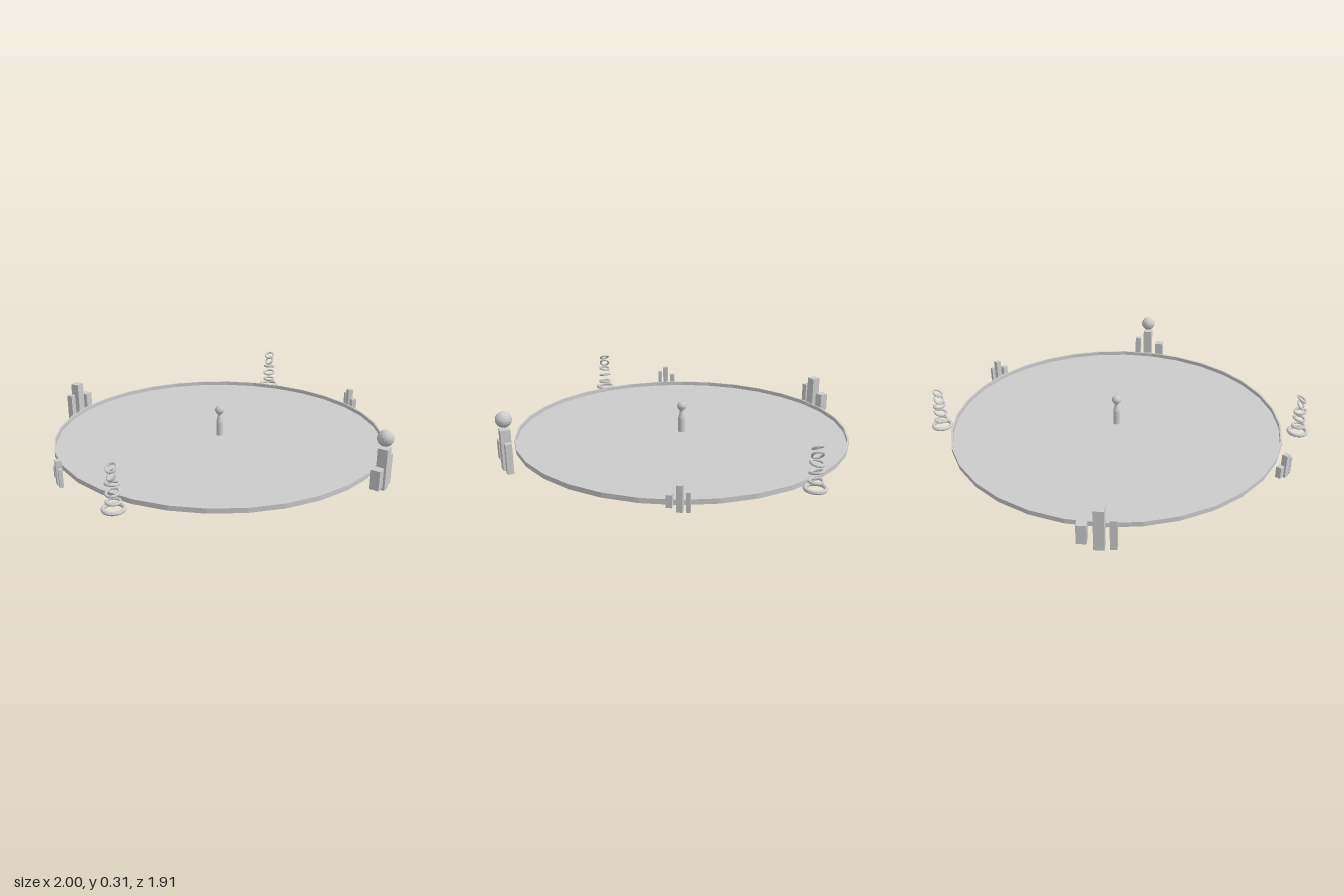
import * as THREE from 'three';

const material = new THREE.MeshStandardMaterial({ color: 0xcccccc, flatShading: true, side: THREE.DoubleSide });

function add(parent, name, geometry, x = 0, y = 0, z = 0) {
  const mesh = new THREE.Mesh(geometry, material);
  mesh.name = name;
  mesh.position.set(x, y, z);
  parent.add(mesh);
  return mesh;
}

const profile = (pairs) => pairs.map(([r, y]) => new THREE.Vector2(r, y));

// Three square pillars in a row, turned to face outward
function pillarCluster(name, x, y, z, turn, scale) {
  const group = new THREE.Group();
  group.name = name;
  const pillars = [
    // name, offset, side, bottom, top
    ['widePillar', -0.08, 0.05, 0.03, 0.135],
    ['tallPillar', 0, 0.052, 0, 0.22],
    ['slimPillar', 0.066, 0.034, 0, 0.163],
  ];
  for (const [part, offset, side, bottom, top] of pillars) {
    add(group, part, new THREE.BoxGeometry(side, top - bottom, side), offset, (bottom + top) / 2, 0);
  }
  group.position.set(x, y, z);
  group.rotation.y = turn;
  group.scale.setScalar(scale);
  return group;
}

// Stack of rings that tilt more towards the top
function ringStack(name, x, z) {
  const group = new THREE.Group();
  group.name = name;
  const rings = [
    // height, radius, tube, tilt about x, tilt about z
    [0.063, 0.05, 0.01, 0, 0],
    [0.1, 0.033, 0.007, 0, 0],
    [0.147, 0.032, 0.007, 0.12, 0.2],
    [0.192, 0.031, 0.007, -0.15, -0.1],
    [0.232, 0.027, 0.006, 0.15, 0.9],
    [0.27, 0.026, 0.006, 0.3, 0.5],
  ];
  for (const [y, radius, tube, tiltX, tiltZ] of rings) {
    const ring = new THREE.TorusGeometry(radius, tube, 8, 24).rotateX(Math.PI / 2);
    add(group, 'ring', ring, 0, y, 0).rotation.set(tiltX, 0, tiltZ);
  }
  group.position.set(x, 0, z);
  return group;
}

export function createModel() {
  const model = new THREE.Group();
  model.name = 'arena';

  // Shallow round tray with a thin raised rim
  add(model, 'tray', new THREE.LatheGeometry(profile([
    [0, 0.054], [0.94, 0.054], [0.94, 0.08], [0.93, 0.08], [0.93, 0.057], [0, 0.057],
  ]), 32), 0.01, 0, -0.01);

  // Small figure in the middle
  const figure = new THREE.Group();
  figure.name = 'centreFigure';
  figure.position.set(0.01, 0, -0.01);
  add(figure, 'body', new THREE.LatheGeometry(profile([
    [0, 0.056], [0.019, 0.056], [0.019, 0.14], [0.01, 0.175], [0.012, 0.19], [0, 0.19],
  ]), 12));
  add(figure, 'head', new THREE.IcosahedronGeometry(0.026, 2), 0, 0.21, 0);
  model.add(figure);

  // Large pillar clusters, front and back
  const front = pillarCluster('frontPillars', 0.43, 0, 0.895, 0.45, 1);
  add(front, 'ball', new THREE.IcosahedronGeometry(0.043, 2), 0, 0.272, 0);
  model.add(front, pillarCluster('backPillars', -0.543, 0, -0.857, -2.576, 1));

  // Small pillar clusters at the sides
  model.add(
    pillarCluster('rightPillars', -0.985, 0.04, 0.112, -1.68, 0.59),
    pillarCluster('leftPillars', 0.98, 0.04, -0.012, 1.4, 0.59),
  );

  // Ring stacks on opposite edges
  model.add(ringStack('leftRings', 0.785, -0.645), ringStack('rightRings', -0.867, 0.53));

  return model;
}
